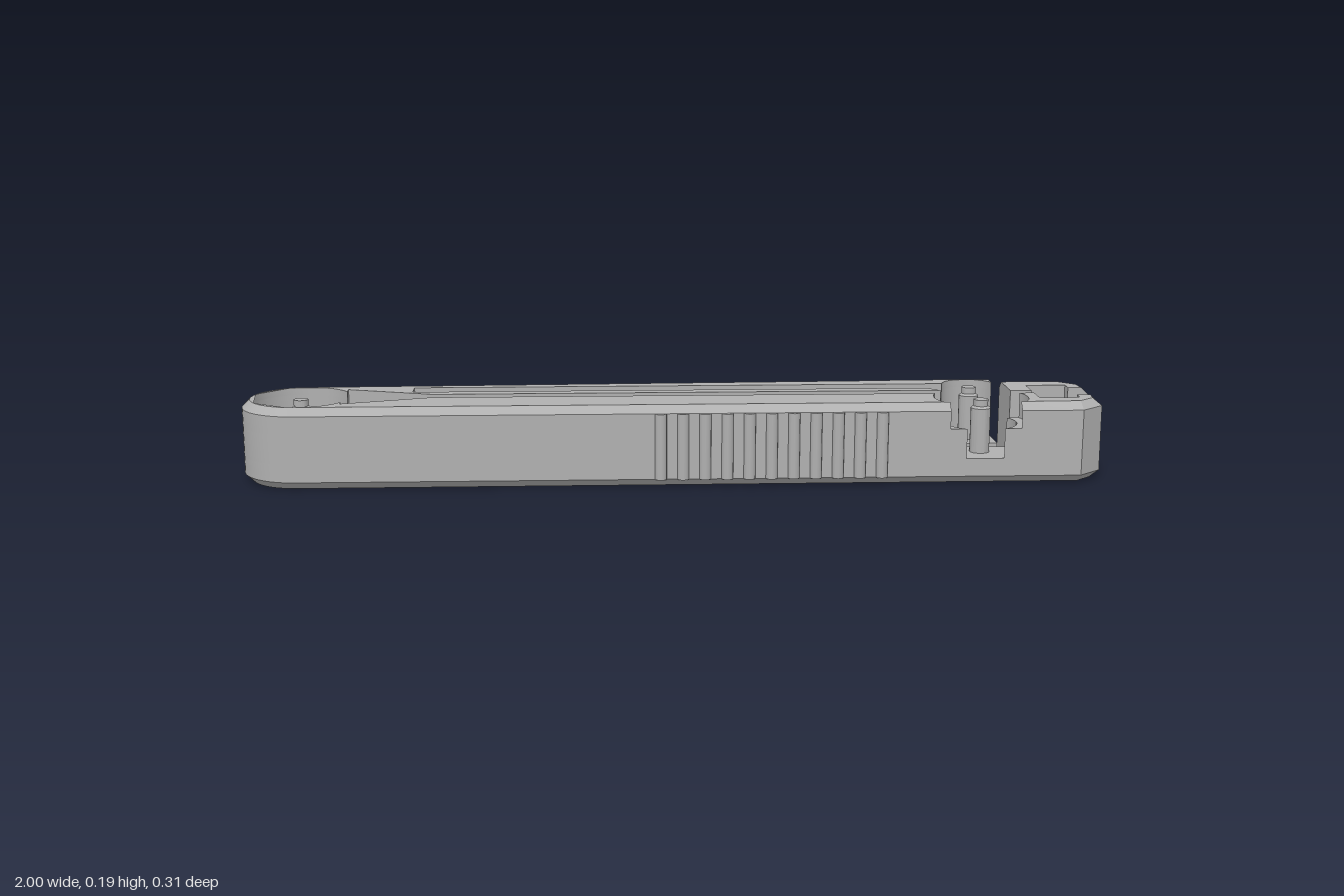
import * as THREE from 'three';
import { toCreasedNormals, mergeGeometries } from 'three/addons/utils/BufferGeometryUtils.js';

const TOP = 0.19, BEVEL = 0.018, FLOOR = 0.06, SHELF = 0.13;
const LOOP = [-0.865, 0.01];   // centre of the rounded end
const FRONT = [0.72, 0.072];   // pin on the fixed jaw
const ARM = [0.72, -0.075];    // pin on the sprung arm

// points on an arc in plan, as [x, z]
function arc([cx, cz], r, a0, a1, n = 20) {
  return Array.from({ length: n + 1 }, (_, i) => {
    const a = a0 + (a1 - a0) * i / n;
    return [cx + r * Math.cos(a), cz + r * Math.sin(a)];
  });
}

// rear edge of the body: the arm flares outwards, the end block does not
function backEdge(x) {
  if (x > 0.79) return -0.125;
  return -0.125 - 0.032 * THREE.MathUtils.clamp((x + 0.1) / 0.68, 0, 1);
}

// pull a plan point inside the outer outline by the bevel width
function inset(x, z) {
  z = Math.min(z, 0.145 - BEVEL);
  z = Math.max(z, backEdge(x) + BEVEL);
  x = Math.min(x, 1 - BEVEL);
  const dx = x - LOOP[0], dz = z - LOOP[1], d = Math.hypot(dx, dz);
  if (dx < 0 && d > 0.135 - BEVEL) {
    const k = (0.135 - BEVEL) / d;
    return [LOOP[0] + dx * k, LOOP[1] + dz * k];
  }
  const s = Math.sign(dz), nx = 0.673, nz = 0.74;
  const over = (x - 0.945) * nx + (Math.abs(dz) - 0.135) * nz + BEVEL;
  if (over > 0) { x -= over * nx; z -= s * over * nz; }
  return [x, z];
}

// horizontal slice of the body; the level given as bevelY is drawn in
function slice(points, y0, y1, bevelY) {
  const shape = new THREE.Shape(points.map(([x, z]) => new THREE.Vector2(x, -z)));
  const geo = new THREE.ExtrudeGeometry(shape, { depth: y1 - y0, bevelEnabled: false });
  geo.rotateX(-Math.PI / 2).translate(0, y0, 0);
  const p = geo.attributes.position;
  if (bevelY !== undefined) {
    for (let i = 0; i < p.count; i++) {
      if (Math.abs(p.getY(i) - bevelY) > 1e-4) continue;
      const [x, z] = inset(p.getX(i), p.getZ(i));
      p.setXYZ(i, x, p.getY(i), z);
    }
  }
  return toCreasedNormals(geo, 0.45);
}

// outer edge along the arm and round the closed end
const outerBack = [
  [0.78, -0.157], [0.58, -0.157], [-0.1, -0.125],
  ...arc(LOOP, 0.135, -Math.PI / 2, -Math.PI * 1.5, 28),
];
const springSlot = [[0.61, -0.04], [-0.61, -0.04], [-0.61, -0.09]];

function floorOutline(endPoints) {
  return [
    [0.945, 0.145], [1, 0.095], ...endPoints, [1, -0.075], [0.945, -0.125],
    [0.805, -0.125], [0.805, 0.025], [0.68, 0.025], ...springSlot,
    ...arc(ARM, 0.08, 3.33, 2.19, 10), [0.78, -0.01], ...outerBack,
  ];
}

// walls of the handle, round pocket, wedge, long groove and sprung arm
function wallOutline(r) {
  return [
    ...arc(FRONT, r, Math.PI - Math.asin(0.073 / r), Math.PI + Math.asin(0.047 / r), 12),
    [-0.56, 0.025], [-0.765, 0.09],
    ...arc(LOOP, 0.117, 0.546, Math.PI * 2 - 0.546, 32),
    [-0.765, -0.075], [-0.56, -0.01], [0.64, -0.01], ...springSlot,
    ...arc(ARM, 0.065, 3.375, 5.888, 16), ...outerBack,
  ];
}

// front half of the end block, cut by the pin recess
function blockFront(r) {
  return [
    ...arc(FRONT, r, -Math.asin(0.044 / r), Math.asin(0.073 / r), 12),
    [0.945, 0.145], [1, 0.095], [1, 0.055], [0.95, 0.055],
    [0.95, 0.085], [0.855, 0.085], [0.855, 0.028],
  ];
}
const blockBack = [
  [1, -0.03], [1, -0.075], [0.945, -0.125], [0.805, -0.125], [0.805, 0],
  [0.855, 0], [0.855, -0.06], [0.95, -0.06], [0.95, -0.03],
];
const endPocket = [
  [1, 0.055], [0.95, 0.055], [0.95, 0.085], [0.855, 0.085],
  [0.855, -0.06], [0.95, -0.06], [0.95, -0.03], [1, -0.03],
];

export function createModel() {
  const group = new THREE.Group();
  const plastic = new THREE.MeshStandardMaterial({ color: 0xb0b0b0 });
  plastic.name = 'grey plastic';
  const add = (name, geo) => {
    const mesh = new THREE.Mesh(geo, plastic);
    mesh.name = name;
    group.add(mesh);
    return mesh;
  };

  // base with bevelled underside
  add('base', mergeGeometries([
    slice(floorOutline([]), 0, BEVEL, 0),
    slice(floorOutline([]), BEVEL, 0.03),
    slice(floorOutline(endPocket), 0.03, FLOOR),
  ]));

  // walls: narrow recess below, wider stepped recess above, bevelled rim
  const rim = TOP - BEVEL;
  const stack = (outline) => mergeGeometries([
    slice(outline(0.085), FLOOR, SHELF),
    slice(outline(0.11), SHELF, rim),
    slice(outline(0.11), rim, TOP, TOP),
  ]);
  add('handleWalls', stack(wallOutline));
  add('endBlockFront', stack(blockFront));
  add('endBlockBack', stack(() => blockBack));

  // rounded bottom of the notch in the end face
  const notch = new THREE.Shape();
  notch.moveTo(-0.055, 0.029);
  notch.lineTo(0.03, 0.029);
  notch.lineTo(0.03, 0.0725);
  notch.absarc(-0.0125, 0.0725, 0.0425, 0, Math.PI, true);
  const notchGeo = new THREE.ExtrudeGeometry(notch, { depth: 0.05, bevelEnabled: false, curveSegments: 16 });
  notchGeo.rotateY(Math.PI / 2).translate(0.95, 0, 0);
  add('notchBottom', toCreasedNormals(notchGeo, 0.45));

  // stepped pins
  const pinProfile = [[0.023, FLOOR - 0.01], [0.023, 0.165], [0.017, 0.17], [0.017, 0.185], [0, 0.185]]
    .map(([r, y]) => new THREE.Vector2(r, y));
  const pinGeo = toCreasedNormals(new THREE.LatheGeometry(pinProfile, 24), 0.45);
  [['loopPin', LOOP], ['jawPin', FRONT], ['armPin', ARM]].forEach(([name, [x, z]]) => {
    add(name, pinGeo).position.set(x, 0, z);
  });

  // finger grip ribs
  const ribGeo = new THREE.CylinderGeometry(0.014, 0.014, rim - BEVEL, 12);
  for (let i = 0; i < 11; i++) {
    add('gripRib', ribGeo).position.set(-0.03 + i * 0.051, TOP / 2, 0.143);
  }
  return group;
}
